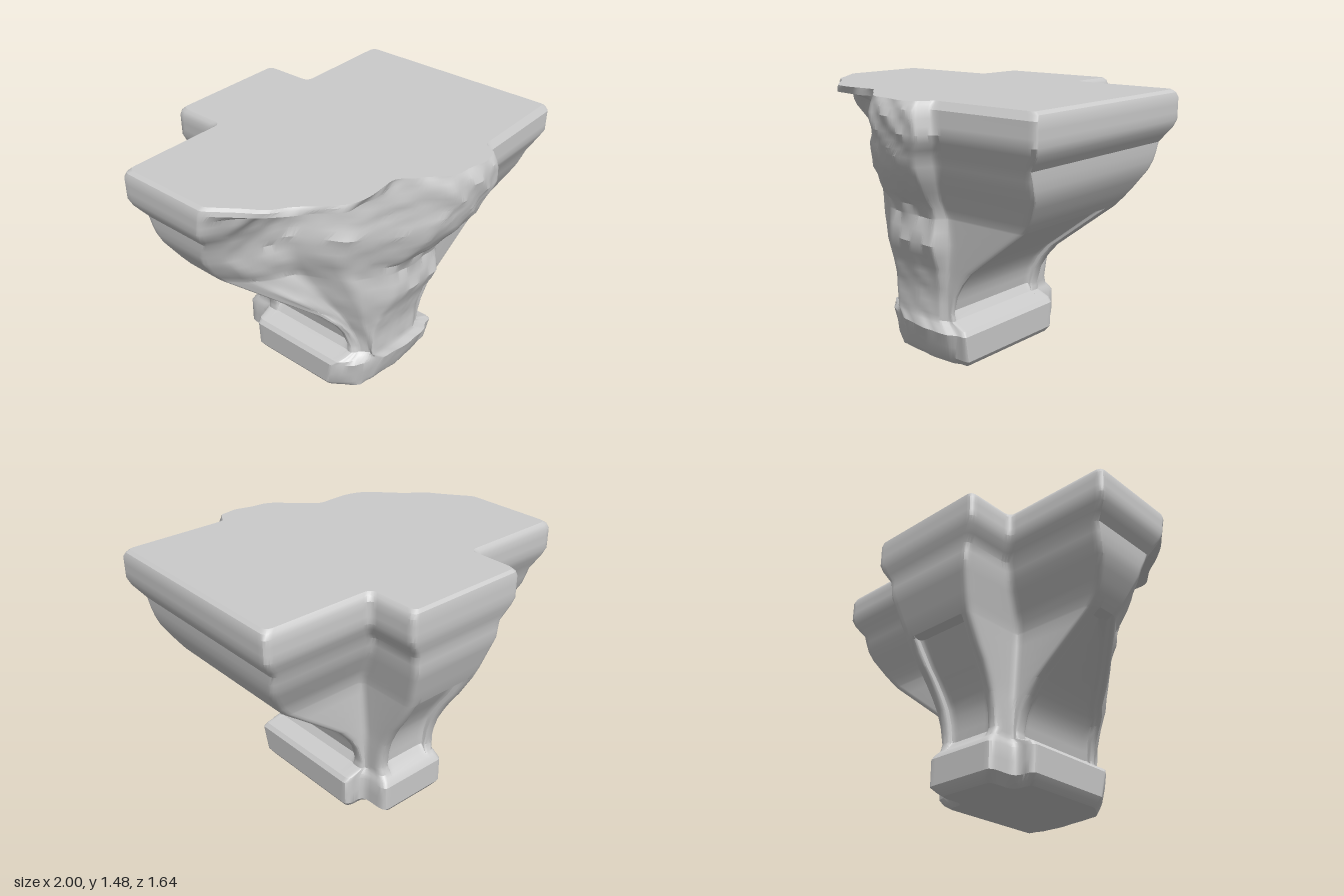
import * as THREE from 'three';
import { toCreasedNormals } from 'three/addons/utils/BufferGeometryUtils.js';

// Profile tracks: [height, value] pairs, read by linear interpolation
const T = {
  armX: [[0, 0.3], [0.02, 0.33], [0.05, 0.35], [0.2, 0.355], [0.225, 0.335], [0.24, 0.29], [0.255, 0.245], [0.3, 0.24], [0.4, 0.27], [0.48, 0.32], [0.56, 0.39],
    [0.7, 0.57], [0.84, 0.75], [0.87, 0.785], [0.95, 0.84], [1.05, 0.9], [1.12, 0.92], [1.2, 0.925], [1.28, 0.985], [1.32, 1], [1.44, 1], [1.465, 0.99], [1.48, 0.97]],
  armBack: [[0, -0.28], [0.02, -0.305], [0.05, -0.32], [0.84, -0.33], [0.9, -0.345], [1.1, -0.45], [1.2, -0.48], [1.28, -0.515], [1.32, -0.53], [1.44, -0.53], [1.465, -0.52], [1.48, -0.505]],
  stemW: [[0, 0.18], [0.05, 0.23], [0.2, 0.23], [0.255, 0.21], [0.5, 0.22], [0.85, 0.25], [1.1, 0.3], [1.2, 0.31], [1.28, 0.36], [1.32, 0.375], [1.44, 0.375], [1.465, 0.365], [1.48, 0.35]],
  stemBack: [[0, -0.45], [0.02, -0.48], [0.05, -0.5], [0.2, -0.5], [0.225, -0.485], [0.255, -0.455], [0.3, -0.44], [0.4, -0.455], [0.48, -0.48], [0.6, -0.54], [0.7, -0.61],
    [0.84, -0.69], [0.9, -0.715], [1.1, -0.78], [1.2, -0.785], [1.28, -0.81], [1.32, -0.82], [1.44, -0.82], [1.465, -0.815], [1.48, -0.8]],
  recess: [[0.24, 0], [0.3, 0.03], [0.5, 0.05], [0.84, 0.055], [0.85, 0]],
  armFront: [[0, 0.38], [0.05, 0.43], [0.2, 0.46], [0.25, 0.435], [0.5, 0.45], [0.85, 0.49], [0.95, 0.54], [1.1, 0.62], [1.2, 0.66], [1.28, 0.7], [1.32, 0.72], [1.44, 0.72], [1.48, 0.695]],
  lumpX: [[0, 0.22], [0.2, 0.26], [0.25, 0.18], [0.4, 0.18], [0.7, 0.23], [0.95, 0.23], [1.1, 0.28], [1.2, 0.3], [1.3, 0.36], [1.48, 0.34]],
  lumpZ: [[0, 0.4], [0.03, 0.43], [0.2, 0.49], [0.25, 0.46], [0.4, 0.46], [0.56, 0.5], [0.66, 0.56], [0.72, 0.57], [0.83, 0.54], [0.9, 0.56], [1, 0.65], [1.12, 0.74], [1.2, 0.77], [1.32, 0.81], [1.42, 0.81], [1.48, 0.78]],
  ridgeX: [[0, -0.2], [0.2, -0.22], [0.25, -0.17], [0.35, -0.19], [0.6, -0.26], [0.85, -0.34], [1, -0.4], [1.15, -0.4], [1.36, -0.27], [1.48, -0.2]],
  ridgeZ: [[0, 0.37], [0.2, 0.41], [0.35, 0.4], [0.6, 0.41], [1, 0.37], [1.2, 0.42], [1.36, 0.52], [1.48, 0.56]],
  hollowT: [[0, 0.4], [0.5, 0.4], [0.8, 0.27], [1.37, 0.27], [1.44, 0.4]],
  hollowZ: [[0, 0.33], [0.2, 0.37], [0.5, 0.32], [0.67, 0.24], [0.85, 0.15], [1.1, 0.13], [1.3, 0.19], [1.4, 0.3], [1.44, 0.52], [1.48, 0.54]],
  cornerZ: [[0, 0.23], [0.2, 0.27], [0.25, 0.33], [0.5, 0.28], [0.67, 0.1], [0.85, -0.13], [1.1, -0.09], [1.3, 0], [1.48, 0.03]],
};
const LEVELS = [0, 0.02, 0.05, 0.12, 0.2, 0.225, 0.24, 0.255, 0.28, 0.3, 0.35, 0.4, 0.44, 0.48, 0.52, 0.56, 0.63, 0.7, 0.77, 0.84, 0.85,
  0.9, 0.95, 1, 1.05, 1.1, 1.15, 1.2, 1.24, 1.28, 1.32, 1.36, 1.4, 1.44, 1.465, 1.48];

function at(track, y) {
  if (y <= track[0][0]) return track[0][1];
  for (let i = 1; i < track.length; i++) {
    const [y0, a] = track[i - 1], [y1, b] = track[i];
    if (y <= y1) return a + (b - a) * (y - y0) / (y1 - y0);
  }
  return track[track.length - 1][1];
}

// Replace every corner by a short curve so the stone edges look worn
function soften(points, radius) {
  return points.flatMap((p, i) => {
    const toward = (q) => {
      const len = p.distanceTo(q);
      return p.clone().lerp(q, len > 1e-6 ? Math.min(radius / len, 0.45) : 0);
    };
    const start = toward(points[(i + points.length - 1) % points.length]);
    const end = toward(points[(i + 1) % points.length]);
    return new THREE.QuadraticBezierCurve(start, p, end).getPoints(4);
  });
}

// Cross-shaped plan at one height, with a broken front edge
function section(y) {
  const v = {};
  for (const key in T) v[key] = at(T[key], y);
  const { armX: X, armBack: Zb, stemW: w, stemBack: B, recess: d, armFront: Zf, cornerZ: C, lumpX: lx, lumpZ: F } = v;
  const rim = 0.07, frontRim = 0.03;
  const sound = [
    [-X, C - frontRim], [-X + d, C - frontRim], [-X + d, Zb + rim], [-X, Zb + rim], [-X, Zb], // right end
    [-w, Zb], [-w, B], [-w + rim, B], [-w + rim, B + d], [w - rim, B + d], [w - rim, B], [w, B], [w, Zb], // back arm
    [X, Zb], [X, Zb + rim], [X - d, Zb + rim], [X - d, Zf - frontRim], [X, Zf - frontRim], [X, Zf], // left end
  ].map((p) => new THREE.Vector2(...p));

  const mix = (t) => v.ridgeX + (-X - v.ridgeX) * t;
  const broken = [
    [lx + 0.04, Zf], [lx - 0.01, F], [lx - 0.17, F], [lx - 0.36, F * 0.9 + v.ridgeZ * 0.1 - 0.02],
    [v.ridgeX, v.ridgeZ], [mix(v.hollowT), v.hollowZ], [mix(0.78), v.hollowZ * 0.45 + C * 0.55], [-X, C],
  ].map((p) => new THREE.Vector2(...p));

  // Subdivide and roughen the broken edge
  const rough = [broken[0]];
  for (let i = 1; i < broken.length; i++) {
    for (let s = 1; s <= 3; s++) {
      const p = broken[i - 1].clone().lerp(broken[i], s / 3);
      if (i > 1 && i < broken.length - 1) {
        p.y += 0.02 * X * Math.sin(p.x * 21 + y * 17) * Math.cos(y * 23 - i * 2.1 - s);
      }
      rough.push(p);
    }
  }
  return soften([...sound, ...rough], y < 0.24 ? 0.06 : 0.045);
}

function loftStone() {
  const rings = LEVELS.map(section);
  const n = rings[0].length;
  const positions = [], index = [];
  rings.forEach((ring, k) => ring.forEach((p) => positions.push(p.x, LEVELS[k], p.y)));
  for (let k = 0; k < rings.length - 1; k++) {
    for (let i = 0; i < n; i++) {
      const j = (i + 1) % n;
      const a = k * n + i, b = k * n + j;
      index.push(a, a + n, b, b, a + n, b + n);
    }
  }
  // Flat top and underside
  for (const [k, up] of [[0, -1], [rings.length - 1, 1]]) {
    const ring = rings[k];
    for (const [a, b, c] of THREE.ShapeUtils.triangulateShape(ring.slice(), [])) {
      const area = ring[b].clone().sub(ring[a]).cross(ring[c].clone().sub(ring[a]));
      const flip = area * up > 0;
      index.push(k * n + a, k * n + (flip ? c : b), k * n + (flip ? b : c));
    }
  }
  const geometry = new THREE.BufferGeometry();
  geometry.setAttribute('position', new THREE.Float32BufferAttribute(positions, 3));
  geometry.setIndex(index);
  return toCreasedNormals(geometry, 0.5);
}

export function createModel() {
  const group = new THREE.Group();
  group.name = 'brokenCapital';
  const stone = new THREE.Mesh(loftStone(), new THREE.MeshStandardMaterial({ color: 0xcccccc }));
  stone.name = 'carvedStone';
  group.add(stone);
  return group;
}
